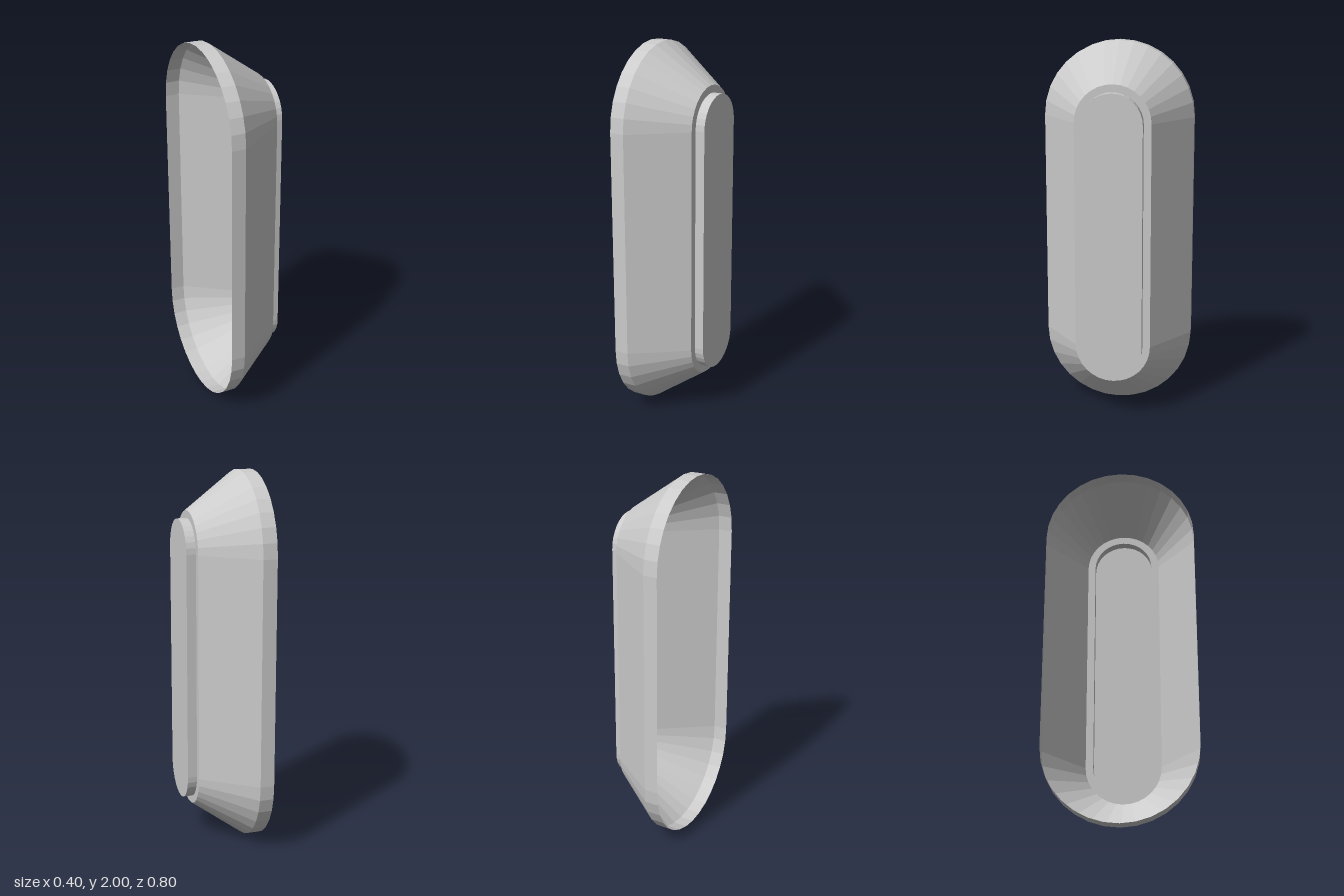
import * as THREE from 'three';

const SEGMENTS = 16;      // facets per rounded end
const HALF_STRAIGHT = 0.6; // centre height to the centre of each rounded end

// Pill-shaped outline, counter-clockwise seen from +x: u runs towards -z, v is up
function outline(radius) {
  const points = [];
  for (const side of [1, -1]) {
    for (let i = 0; i <= SEGMENTS; i++) {
      const a = (i / SEGMENTS) * Math.PI;
      points.push(new THREE.Vector2(
        side * radius * Math.cos(a),
        1 + side * (HALF_STRAIGHT + radius * Math.sin(a))
      ));
    }
  }
  return points;
}

// Band of quads joining two pill outlines at different x and radius
function bandGeometry([x0, r0], [x1, r1]) {
  const lower = outline(r0), upper = outline(r1);
  const count = lower.length;
  const positions = [], indices = [];
  for (let i = 0; i < count; i++) {
    const j = (i + 1) % count;
    positions.push(x0, lower[i].y, -lower[i].x, x1, upper[i].y, -upper[i].x);
    indices.push(2 * i, 2 * j, 2 * j + 1, 2 * i, 2 * j + 1, 2 * i + 1);
  }
  const indexed = new THREE.BufferGeometry();
  indexed.setAttribute('position', new THREE.Float32BufferAttribute(positions, 3));
  indexed.setIndex(indices);
  const geometry = indexed.toNonIndexed();
  geometry.computeVertexNormals();
  return geometry;
}

export function createModel() {
  const group = new THREE.Group();
  group.name = 'pillShapedCover';
  const material = new THREE.MeshStandardMaterial({
    color: 0xcccccc, flatShading: true, side: THREE.DoubleSide,
  });
  const add = (name, geometry) => {
    const mesh = new THREE.Mesh(geometry, material);
    mesh.name = name;
    group.add(mesh);
  };

  // Thin open shell, from the open rim to the raised face: [x, radius]
  add('openRim', bandGeometry([-0.2, 0.4], [-0.125, 0.4]));
  add('slopedBody', bandGeometry([-0.125, 0.4], [0.15, 0.2]));
  add('ledge', bandGeometry([0.15, 0.2], [0.15, 0.16]));
  add('raisedWall', bandGeometry([0.15, 0.16], [0.2, 0.16]));

  // Flat face closing the raised wall
  const face = new THREE.ShapeGeometry(new THREE.Shape(outline(0.16)));
  face.rotateY(Math.PI / 2).translate(0.2, 0, 0);
  add('raisedFace', face);

  return group;
}
